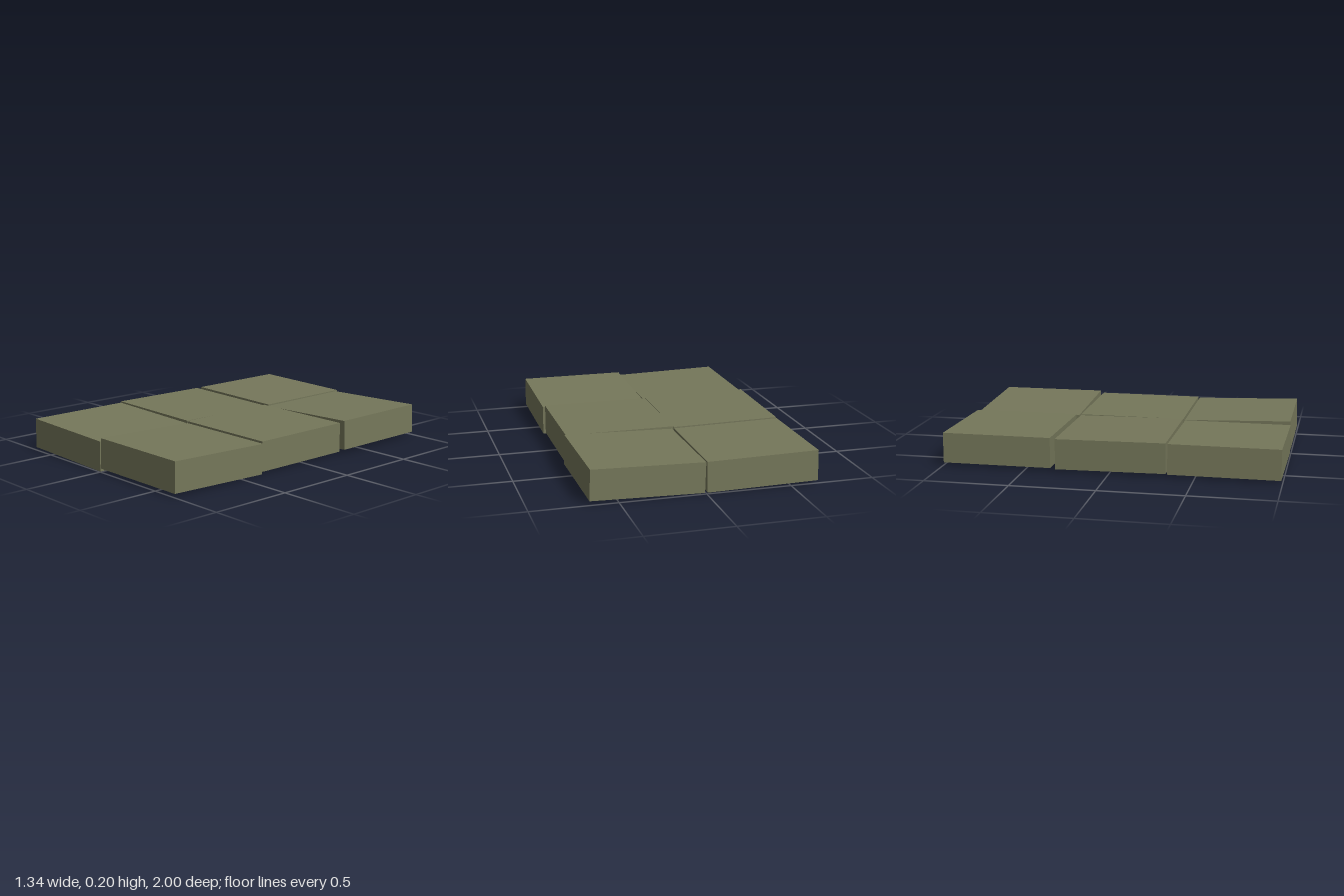
import * as THREE from 'three';

// Six square paving slabs laid in a 2 x 3 grid, each settled at a slight tilt.
const WIDTH = 0.658, THICKNESS = 0.18, DEPTH = 0.65;

// name, centre x, y, z, rise along +x, rise along +z, yaw
const SLABS = [
  ['frontLeftSlab', 0.334, 0.105, 0.669, 0, 0.02, 0],
  ['frontRightSlab', -0.333, 0.102, 0.668, -0.015, 0, -0.004],
  ['middleLeftSlab', 0.321, 0.104, 0.008, 0, 0, 0],
  ['middleRightSlab', -0.341, 0.107, 0.008, -0.009, 0.007, 0],
  ['backLeftSlab', 0.334, 0.105, -0.662, 0.02, 0, 0.01],
  ['backRightSlab', -0.333, 0.106, -0.674, -0.01, 0, 0],
];

export function createModel() {
  const model = new THREE.Group();
  model.name = 'pavingSlabs';
  const geometry = new THREE.BoxGeometry(WIDTH, THICKNESS, DEPTH);
  const material = new THREE.MeshStandardMaterial({ color: 0x75775a });

  for (const [name, x, y, z, riseX, riseZ, yaw] of SLABS) {
    const slab = new THREE.Mesh(geometry, material);
    slab.name = name;
    slab.position.set(x, y, z);
    // Turn the rise across each side into a tilt angle
    slab.rotation.set(-Math.atan(riseZ / DEPTH), yaw, Math.atan(riseX / WIDTH));
    model.add(slab);
  }

  // Rest the lowest corner on the ground
  model.updateMatrixWorld(true);
  const floor = new THREE.Box3().setFromObject(model, true).min.y;
  for (const slab of model.children) slab.position.y -= floor;
  return model;
}
